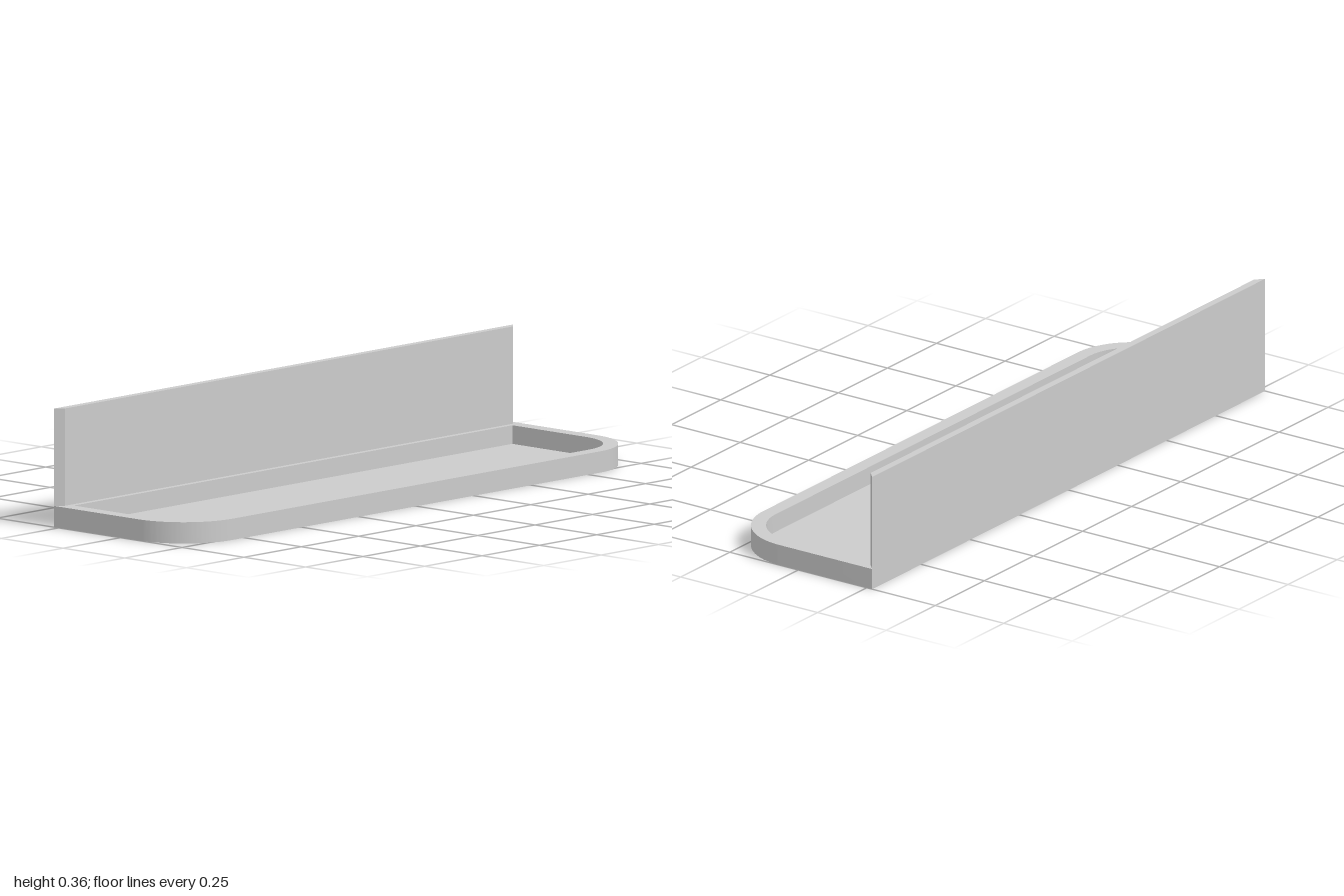
import * as THREE from 'three';
import { toCreasedNormals } from 'three/addons/utils/BufferGeometryUtils.js';

const BACK = -0.27, FRONT = 0.27, HEIGHT = 0.064, FLOOR = 0.008, TOP = 0.357;

// Outline with square back corners and rounded front corners (shape y = -z).
function trayOutline(target, halfWidth, back, front, radius) {
  target.moveTo(-halfWidth, -back);
  target.lineTo(-halfWidth, -front + radius);
  target.absarc(-halfWidth + radius, -front + radius, radius, Math.PI, Math.PI * 1.5, false);
  target.lineTo(halfWidth - radius, -front);
  target.absarc(halfWidth - radius, -front + radius, radius, Math.PI * 1.5, Math.PI * 2, false);
  target.lineTo(halfWidth, -back);
  target.closePath();
  return target;
}

// Extrude a plan shape upwards from y0 to y1.
function slab(name, shape, y0, y1) {
  const extruded = new THREE.ExtrudeGeometry(shape, { depth: y1 - y0, bevelEnabled: false, curveSegments: 24 });
  extruded.rotateX(-Math.PI / 2).translate(0, y0, 0);
  const mesh = new THREE.Mesh(
    toCreasedNormals(extruded, Math.PI / 6),
    new THREE.MeshStandardMaterial({ color: 0xcccccc })
  );
  mesh.name = name;
  return mesh;
}

export function createModel() {
  const model = new THREE.Group();
  model.name = 'trayShelf';

  // Thin floor of the tray
  const floor = trayOutline(new THREE.Shape(), 1, BACK, FRONT, 0.2);
  model.add(slab('trayFloor', floor, 0, FLOOR));

  // Raised rim around the recess
  const rim = trayOutline(new THREE.Shape(), 1, BACK, FRONT, 0.2);
  rim.holes.push(trayOutline(new THREE.Path(), 0.955, -0.23, 0.225, 0.155));
  model.add(slab('trayRim', rim, FLOOR, HEIGHT));

  // Upright back panel with mitred ends
  const panel = new THREE.Shape([
    new THREE.Vector2(-1, -BACK),
    new THREE.Vector2(-0.976, 0.247),
    new THREE.Vector2(0.976, 0.247),
    new THREE.Vector2(1, -BACK),
  ]);
  model.add(slab('backPanel', panel, HEIGHT, TOP));

  return model;
}
